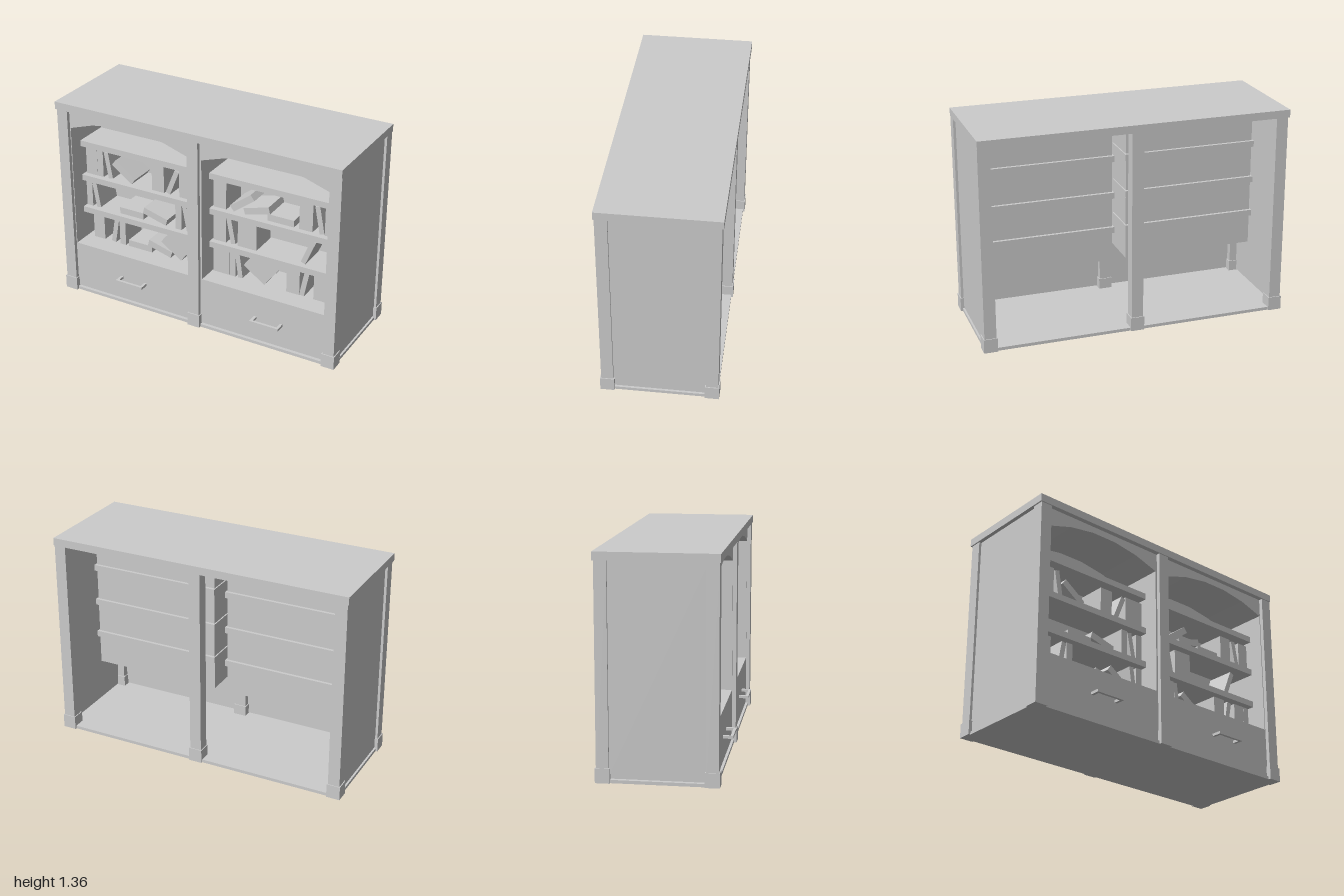
import * as THREE from 'three';

const mat = new THREE.MeshStandardMaterial({ color: 0xcccccc, flatShading: true, side: THREE.DoubleSide });

function add(parent, name, geometry) {
  const mesh = new THREE.Mesh(geometry, mat);
  mesh.name = name;
  parent.add(mesh);
  return mesh;
}

// box given by its limits on each axis
function block(parent, name, [x0, x1], [y0, y1], [z0, z1]) {
  const mesh = add(parent, name, new THREE.BoxGeometry(x1 - x0, y1 - y0, z1 - z0));
  mesh.position.set((x0 + x1) / 2, (y0 + y1) / 2, (z0 + z1) / 2);
}

// outline of an arched alcove centred on cx, grown outward by g
function archPoints(cx, g = 0) {
  const half = 0.43 + g, spring = 1.185, rise = 0.085 + g, sides = 5;
  const r = (half * half + rise * rise) / (2 * rise), a = Math.asin(half / r);
  const pts = [new THREE.Vector2(cx - half, 0.35 - g), new THREE.Vector2(cx + half, 0.35 - g)];
  for (let i = 0; i <= sides; i++) {
    const t = a - (2 * a * i) / sides;
    pts.push(new THREE.Vector2(cx + Math.sin(t) * r, spring + rise - r + Math.cos(t) * r));
  }
  return pts;
}

function extrude(shape, z0, z1) {
  return new THREE.ExtrudeGeometry(shape, { depth: z1 - z0, bevelEnabled: false }).translate(0, 0, z0);
}

// row of upright books from x to the right
function uprightBooks(parent, y, x, count = 1, width = 0.045) {
  for (let i = 0; i < count; i++) {
    block(parent, 'uprightBook', [x + i * width, x + (i + 1) * width], [y, y + 0.185], [0, 0.188]);
  }
}

// book tilted from upright, its lowest corner resting on the shelf; 90 degrees lies flat
function tiltedBook(parent, y, x, degrees) {
  const thick = Math.abs(degrees) > 45 ? 0.045 : 0.033, long = 0.18;
  const a = THREE.MathUtils.degToRad(degrees);
  const mesh = add(parent, 'tiltedBook', new THREE.BoxGeometry(thick, long, 0.188));
  mesh.position.set(x, y + (thick * Math.abs(Math.sin(a)) + long * Math.cos(a)) / 2, 0.094);
  mesh.rotation.z = a;
}

// one level of books: upright rows [x, count, width] and tilted books [x, degrees]
function bookLevel(parent, y, uprights, tilted) {
  const level = new THREE.Group();
  level.name = 'bookLevel';
  parent.add(level);
  for (const row of uprights) uprightBooks(level, y, ...row);
  for (const [x, degrees] of tilted) tiltedBook(level, y, x, degrees);
}

export function createModel() {
  const model = new THREE.Group();
  model.name = 'bookcase';

  // carcass
  block(model, 'topSlab', [-1, 0.992], [1.31, 1.36], [-0.383, 0.352]);
  block(model, 'floorPlate', [-0.985, 0.985], [0, 0.02], [-0.37, 0.335]);
  for (const x of [-0.97, 0.97]) {
    block(model, 'sidePanel', [x - 0.005, x + 0.005], [0.025, 1.31], [-0.31, 0.28]);
  }

  // posts with square feet, three in front and three at the back
  for (const x of [-0.953, 0, 0.953]) {
    for (const z of [-0.3375, 0.3075]) {
      block(model, 'post', [x - 0.038, x + 0.038], [0.02, 1.31], [z - 0.0375, z + 0.0375]);
      block(model, 'postFoot', [x - 0.044, x + 0.044], [0, 0.09], [z - 0.0435, z + 0.0445]);
    }
  }

  // front panel with two arched openings
  const front = new THREE.Shape();
  front.moveTo(-0.95, 0.025).lineTo(0.95, 0.025).lineTo(0.95, 1.31).lineTo(-0.95, 1.31).closePath();
  for (const cx of [-0.48, 0.48]) front.holes.push(new THREE.Path(archPoints(cx)));
  add(model, 'frontPanel', extrude(front, 0.312, 0.32));

  for (const cx of [-0.48, 0.48]) {
    // alcove walls and back
    const wall = new THREE.Shape(archPoints(cx, 0.004));
    wall.holes.push(new THREE.Path(archPoints(cx)));
    add(model, 'alcoveWall', extrude(wall, -0.012, 0.314));
    add(model, 'alcoveBack', extrude(new THREE.Shape(archPoints(cx, 0.004)), -0.016, -0.011));

    // shelves, passing slightly through the alcove
    for (const y of [0.54, 0.775, 1.02]) {
      block(model, 'shelf', [cx - 0.442, cx + 0.442], [y, y + 0.04], [-0.036, 0.225]);
    }

    // drawer handle: bar on two arms
    const handle = new THREE.Group();
    handle.name = 'drawerHandle';
    handle.position.x = cx < 0 ? -0.47 : 0.525;
    model.add(handle);
    block(handle, 'handleBar', [-0.1, 0.1], [0.176, 0.193], [0.367, 0.384]);
    for (const x of [-0.091, 0.091]) {
      block(handle, 'handleArm', [x - 0.009, x + 0.009], [0.176, 0.193], [0.318, 0.37]);
    }
  }

  // books, from the alcove floor upward
  bookLevel(model, 0.35,
    [[-0.86, 1, 0.085], [-0.655], [-0.1], [0.092, 1, 0.08], [0.174], [0.58, 2], [0.767, 1, 0.085], [0.853]],
    [[-0.69, -10], [-0.497, 90], [-0.345, 75], [-0.246, 55], [-0.128, 8],
      [0.075, 0], [0.242, 8], [0.364, 55], [0.703, -11]]);
  bookLevel(model, 0.58,
    [[-0.905], [-0.222], [-0.1], [0.06, 2], [0.233, 1, 0.133]],
    [[-0.829, 10], [-0.556, 90], [-0.377, 75], [-0.139, 11], [0.184, 11], [0.722, -22]]);
  bookLevel(model, 0.815,
    [[-0.896, 1, 0.085], [-0.81], [-0.393, 2], [-0.19, 3], [0.06, 2], [0.655, 2], [0.826, 2, 0.04]],
    [[-0.725, 10], [-0.61, 54], [-0.241, -22], [0.262, -53], [0.364, -75], [0.53, 90], [0.791, 11]]);
  return model;
}
